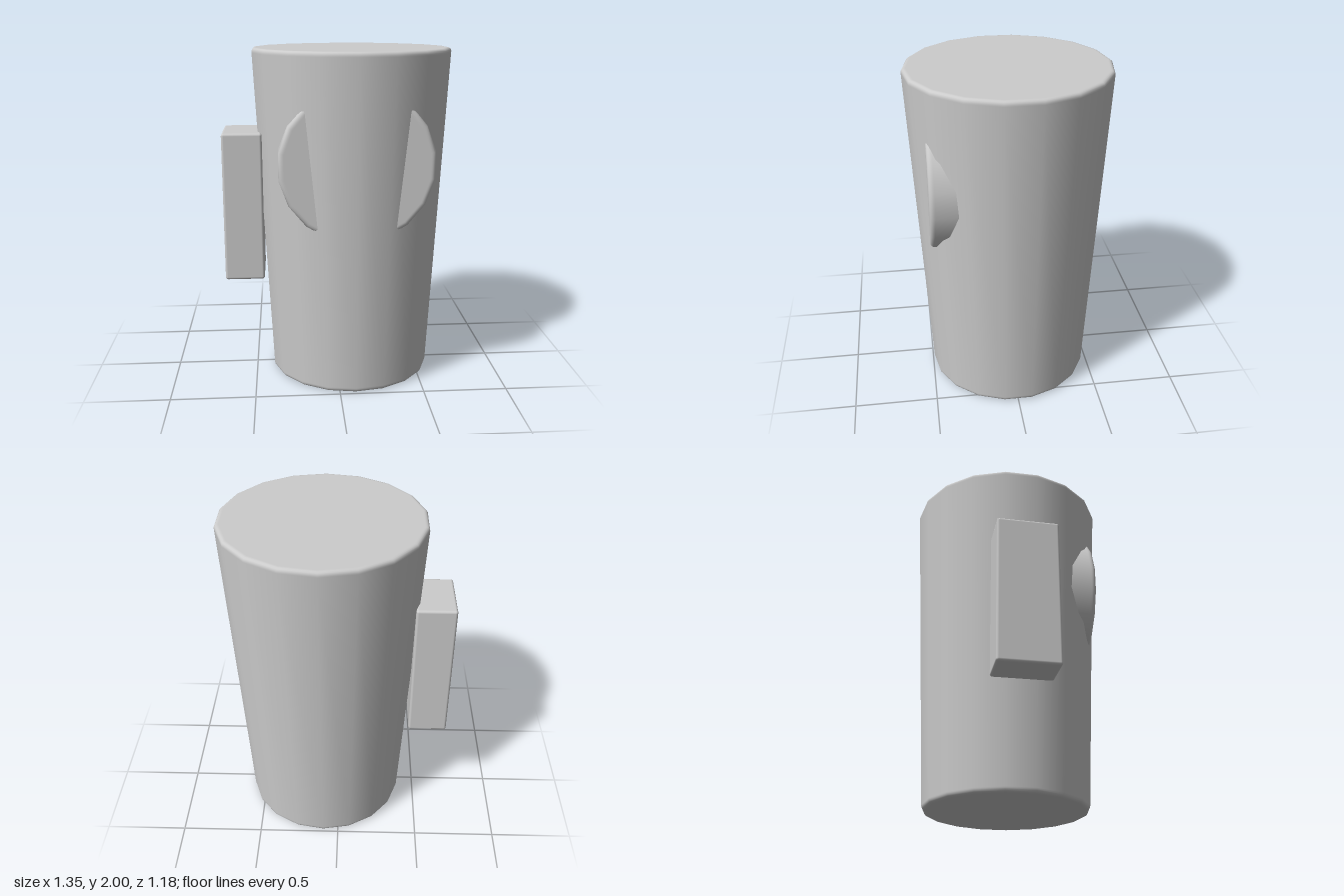
import * as THREE from 'three';
import { RoundedBoxGeometry } from 'three/addons/geometries/RoundedBoxGeometry.js';

const SIDES = 18;

// Capped, tapered round solid along y with rounded rims
function roundedDrum(r0, r1, y0, y1, bevel) {
  const slope = (r1 - r0) / (y1 - y0);
  const radius = (y) => r0 + slope * (y - y0);
  const p = [[0, y0], [r0 - bevel * 1.3, y0]];
  const steps = 4;
  for (let i = 0; i <= steps; i++) {
    const a = (i / steps) * Math.PI / 2;
    const y = y0 + bevel * (1 - Math.cos(a));
    p.push([radius(y) - bevel * (1 - Math.sin(a)), y]);
  }
  p.push([radius(y0 + bevel * 1.3), y0 + bevel * 1.3]);
  p.push([radius(y1 - bevel * 1.3), y1 - bevel * 1.3]);
  for (let i = steps; i >= 0; i--) {
    const a = (i / steps) * Math.PI / 2;
    const y = y1 - bevel * (1 - Math.cos(a));
    p.push([radius(y) - bevel * (1 - Math.sin(a)), y]);
  }
  p.push([r1 - bevel * 1.3, y1], [0, y1]);
  return new THREE.LatheGeometry(p.map(([x, y]) => new THREE.Vector2(x, y)), SIDES);
}

export function createModel() {
  const group = new THREE.Group();
  const grey = new THREE.MeshStandardMaterial({ color: 0xcccccc });
  grey.name = 'light grey';

  const add = (name, geometry, x, y, z) => {
    const mesh = new THREE.Mesh(geometry, grey);
    mesh.name = name;
    mesh.position.set(x, y, z);
    group.add(mesh);
    return mesh;
  };

  const bodyX = 0.095;

  // Tapered cup-shaped body
  add('body', roundedDrum(0.49, 0.593, 0, 2, 0.022), bodyX, 0, 0);

  // Round disc set into the front, so only its two side edges emerge
  const disc = add('frontDisc', roundedDrum(0.447, 0.447, 0.1, 0.487, 0.025), bodyX, 1.37, 0);
  disc.rotation.x = Math.PI / 2;

  // Upright block on the right side
  add('sideBlock', new RoundedBoxGeometry(0.237, 0.895, 0.364, 3, 0.015), -0.5575, 1.067, -0.003);

  return group;
}
